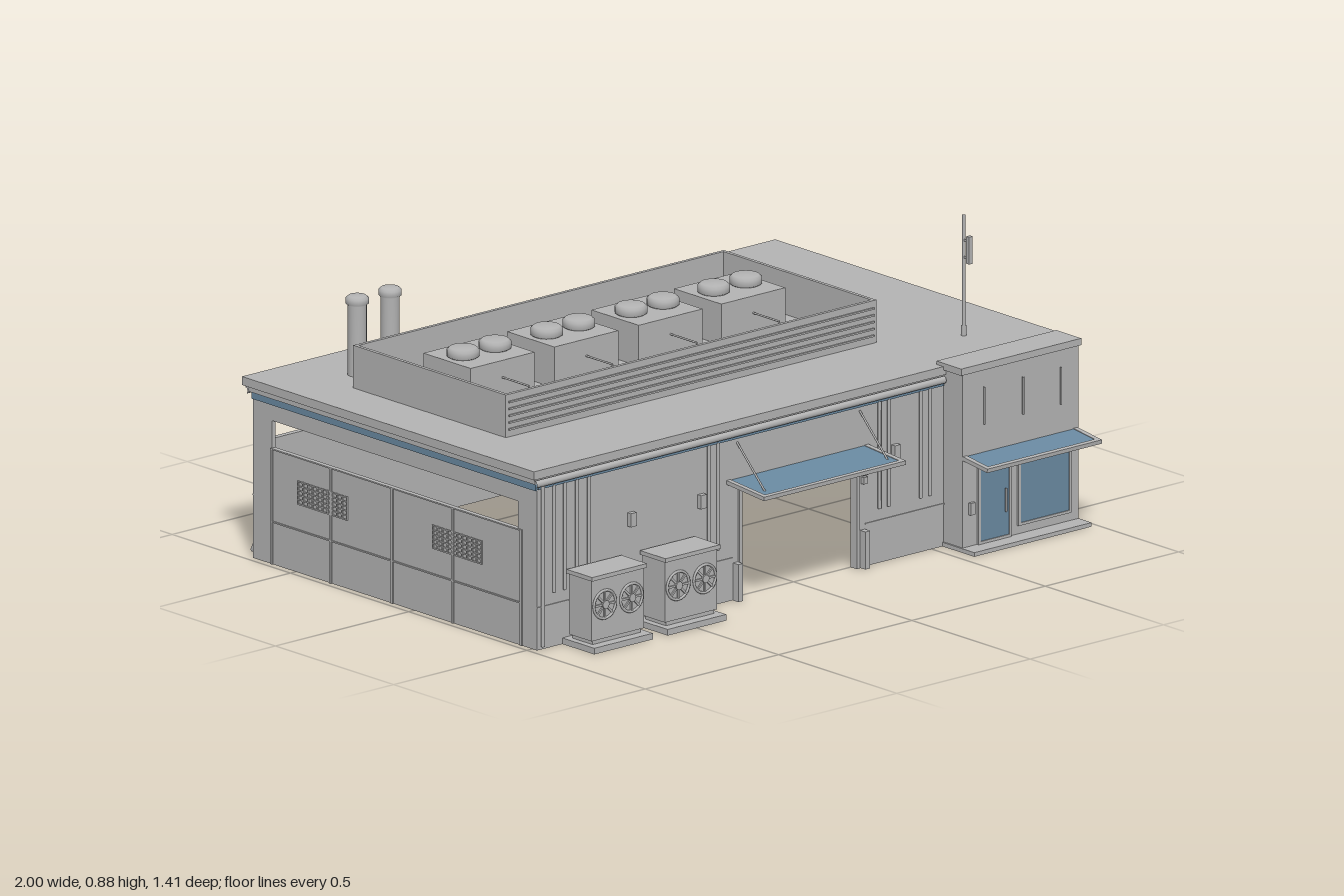
import * as THREE from 'three';

export function createModel() {
  const model = new THREE.Group();
  const grey = new THREE.MeshStandardMaterial({ color: 0xb4b4b4 });
  grey.name = 'greyMetal';
  const glass = new THREE.MeshStandardMaterial({ color: 0x6a8aa2 });
  glass.name = 'blueGlass';

  const add = (name, geo, mat = grey, parent = model) => {
    const mesh = new THREE.Mesh(geo, mat);
    mesh.name = name;
    parent.add(mesh);
    return mesh;
  };
  // Box given by its extents on each axis
  const box = (name, x0, x1, y0, y1, z0, z1, mat, parent) => {
    const m = add(name, new THREE.BoxGeometry(x1 - x0, y1 - y0, z1 - z0), mat, parent);
    m.position.set((x0 + x1) / 2, (y0 + y1) / 2, (z0 + z1) / 2);
    return m;
  };
  // Round bar following a list of points
  const rod = (name, r, ...pts) => {
    const path = new THREE.CurvePath();
    const v = pts.map(p => new THREE.Vector3(...p));
    for (let i = 1; i < v.length; i++) path.add(new THREE.LineCurve3(v[i - 1], v[i]));
    return add(name, new THREE.TubeGeometry(path, v.length === 2 ? 1 : 16, r, 8));
  };
  const rect = (Type, x0, x1, y0, y1) => {
    const s = new Type();
    s.moveTo(x0, y0); s.lineTo(x1, y0); s.lineTo(x1, y1); s.lineTo(x0, y1); s.closePath();
    return s;
  };
  const T = 0.012;
  const wall = (name, shape) => add(name, new THREE.ExtrudeGeometry(shape, { depth: T, bevelEnabled: false }));

  // Front wall with gate opening
  const front = new THREE.Shape();
  [[-0.98, 0], [-0.215, 0], [-0.215, 0.315], [0.215, 0.315], [0.215, 0], [0.98, 0], [0.98, 0.495], [-0.98, 0.495]]
    .forEach(([x, y], i) => (i ? front.lineTo(x, y) : front.moveTo(x, y)));
  wall('frontWall', front).position.z = 0.52 - T;

  // Back wall with long window opening
  const back = rect(THREE.Shape, -0.98, 0.98, 0, 0.495);
  back.holes.push(rect(THREE.Path, -0.93, 0.93, 0.34, 0.42));
  wall('backWall', back).position.z = -0.68;
  box('backSeam', -0.98, 0.98, 0.183, 0.187, -0.683, -0.68);
  box('backSill', -0.94, 0.94, 0.334, 0.34, -0.685, -0.67);

  // Side walls with window openings, panel seams and vent grilles
  for (const s of [-1, 1]) {
    const side = rect(THREE.Shape, -0.52, 0.68, 0, 0.495);
    side.holes.push(rect(THREE.Path, -0.44, 0.6, 0.34, 0.42));
    const m = wall('sideWall', side);
    m.rotation.y = Math.PI / 2;
    m.position.x = s > 0 ? 0.98 - T : -0.98;
    const xa = s > 0 ? 0.98 : -0.984, xb = xa + 0.004;
    for (const z of [0.455, 0.165, -0.09, -0.35, -0.6])
      box('sidePost', xa, xb, 0, 0.34, z - 0.004, z + 0.004);
    for (const y of [0.123, 0.336]) box('sideSeam', xa, xb, y, y + 0.004, -0.6, 0.455);
    for (const z of [0.185, -0.385]) {
      for (let i = 0; i <= 5; i++)
        box('ventSlat', xa, xb + s * 0.002, 0.2 + i * 0.0132, 0.204 + i * 0.0132, z - 0.105, z + 0.105);
      for (let i = 0; i <= 10; i++)
        box('ventBar', xa, xb, 0.2, 0.27, z - 0.105 + i * 0.0206, z - 0.101 + i * 0.0206);
    }
    box('sideStripe', s > 0 ? 0.98 : -0.986, s > 0 ? 0.986 : -0.98, 0.468, 0.488, -0.68, 0.52, glass);
    // Corner downpipes with a kick at the foot
    rod('frontDownpipe', 0.006, [s * 0.965, 0.485, 0.528], [s * 0.965, 0.01, 0.528]);
    rod('backDownpipe', 0.006, [s * 0.965, 0.485, -0.695], [s * 0.965, 0.47, -0.688],
      [s * 0.965, 0.03, -0.688], [s * 0.965, 0.015, -0.7]);
  }
  box('frontStripe', -0.98, 0.54, 0.472, 0.482, 0.52, 0.526, glass);
  box('backStripe', -0.98, 0.98, 0.468, 0.488, -0.686, -0.68, glass);

  // Roof slab and gutters
  box('roof', -1, 1, 0.505, 0.53, -0.705, 0.53);
  box('roofEdge', -0.99, 0.99, 0.488, 0.505, -0.69, 0.522);
  rod('frontGutter', 0.011, [-0.995, 0.49, 0.527], [0.54, 0.49, 0.527]);
  rod('backGutter', 0.011, [-0.995, 0.49, -0.698], [0.995, 0.49, -0.698]);

  // Rooftop screen around the plant
  const screen = rect(THREE.Shape, -0.84, 0.55, -0.23, 0.415);
  screen.holes.push(rect(THREE.Path, -0.829, 0.539, -0.219, 0.404));
  const sm = add('roofScreen', new THREE.ExtrudeGeometry(screen, { depth: 0.125, bevelEnabled: false }));
  sm.rotation.x = -Math.PI / 2;
  sm.position.y = 0.53;
  for (let i = 0; i < 5; i++) box('louver', -0.83, 0.54, 0.55 + i * 0.02, 0.555 + i * 0.02, 0.23, 0.235);
  box('duct', -0.79, 0.5, 0.53, 0.56, 0.02, 0.12);

  // Rooftop cooling units with two fan caps each
  const cap = new THREE.LatheGeometry([[0.04, 0], [0.046, 0.004], [0.046, 0.022], [0.038, 0.029], [0, 0.03]]
    .map(p => new THREE.Vector2(...p)), 24);
  for (const x of [-0.612, -0.298, 0.018, 0.328]) {
    box('coolingUnit', x - 0.12, x + 0.12, 0.53, 0.65, -0.24, -0.04);
    for (const s of [-1, 1]) add('fanCap', cap).position.set(x + s * 0.06, 0.65, -0.14);
    rod('unitPipe', 0.003, [x, 0.6, -0.04], [x, 0.6, 0.07], [x, 0.55, 0.07]);
  }

  // Chimneys
  const flue = new THREE.LatheGeometry([[0.027, 0], [0.027, 0.205], [0.033, 0.21], [0.033, 0.225], [0.025, 0.232], [0, 0.233]]
    .map(p => new THREE.Vector2(...p)), 20);
  for (const x of [-0.745, -0.622]) add('chimney', flue).position.set(x, 0.53, -0.505);

  // Antenna
  rod('antennaMast', 0.005, [0.78, 0.53, 0.34], [0.78, 0.885, 0.34]);
  rod('antennaFoot', 0.008, [0.78, 0.53, 0.34], [0.78, 0.56, 0.34]);
  box('antennaPanel', 0.773, 0.787, 0.745, 0.825, 0.358, 0.37);
  for (const y of [0.76, 0.81]) box('antennaBracket', 0.777, 0.783, y - 0.003, y + 0.003, 0.34, 0.36);

  // Entrance block
  box('entranceBlock', 0.545, 0.98, 0, 0.52, 0.515, 0.6);
  box('entranceCap', 0.535, 0.985, 0.52, 0.54, 0.5, 0.606);
  box('entranceStep', 0.54, 0.98, 0, 0.012, 0.52, 0.655);
  // Thin rectangular frame standing proud of a front face
  const frame = (name, x0, x1, y0, y1, z, w) => {
    const s = rect(THREE.Shape, x0 - w, x1 + w, y0 - w, y1 + w);
    s.holes.push(rect(THREE.Path, x0, x1, y0, y1));
    add(name, new THREE.ExtrudeGeometry(s, { depth: 0.007, bevelEnabled: false })).position.z = z;
  };
  box('doorGlass', 0.607, 0.715, 0.02, 0.235, 0.6, 0.604, glass);
  frame('doorFrame', 0.607, 0.715, 0.02, 0.235, 0.6, 0.008);
  rod('doorHandle', 0.003, [0.7, 0.09, 0.61], [0.7, 0.16, 0.61]);
  box('entranceWindow', 0.757, 0.94, 0.045, 0.24, 0.6, 0.604, glass);
  frame('windowFrame', 0.757, 0.94, 0.045, 0.24, 0.6, 0.008);
  box('doorPanel', 0.567, 0.585, 0.105, 0.14, 0.6, 0.61);

  // Glazed canopies hung on stays
  const canopy = (x0, x1, y, z0, z1, drop, stays) => {
    const g = new THREE.Group();
    g.name = 'canopy';
    model.add(g);
    const d = z1 - z0;
    box('canopyGlass', x0 + 0.015, x1 - 0.015, -0.003, 0.004, 0, d - 0.012, glass, g);
    for (const x of [x0, x1 - 0.015]) box('canopySide', x, x + 0.015, -0.006, 0.006, 0, d, grey, g);
    box('canopyLip', x0, x1, -0.006, 0.006, d - 0.014, d, grey, g);
    g.position.set(0, y, z0);
    g.rotation.x = Math.atan2(drop, d);
    for (const x of stays)
      rod('canopyStay', 0.003, [x, y - drop * 0.7, z0 + d * 0.75], [x, y + 0.11, z0]);
  };
  canopy(-0.27, 0.262, 0.35, 0.52, 0.68, 0.013, [-0.23, 0.23]);
  canopy(0.545, 0.975, 0.274, 0.6, 0.705, 0.013, []);
  for (const x of [0.625, 0.77, 0.912]) rod('entranceStay', 0.003, [x, 0.36, 0.603], [x, 0.47, 0.603]);

  // Gate surround and bollards
  for (const s of [-1, 1]) {
    box('gateJamb', s * 0.22 - 0.006, s * 0.22 + 0.006, 0, 0.32, 0.5, 0.526);
    box('bollard', s * 0.238 - 0.009, s * 0.238 + 0.009, 0, 0.11, 0.522, 0.545);
  }
  box('gateLintel', -0.226, 0.226, 0.312, 0.322, 0.5, 0.526);

  // Pipes, lamps and switches on the front wall
  for (const x of [-0.92, -0.88, -0.835, -0.79, -0.34, -0.305, 0.3, 0.335, 0.455, 0.49])
    rod('wallPipe', 0.005, [x, 0.16, 0.525], [x, 0.475, 0.525]);
  for (const x of [-0.63, -0.367, 0.36]) box('wallLamp', x - 0.011, x + 0.011, 0.296, 0.336, 0.52, 0.535);
  for (const y of [0.245, 0.27]) box('gateSwitch', 0.235, 0.25, y, y + 0.02, 0.52, 0.532);
  for (const [a, b] of [[-0.98, -0.25], [0.25, 0.545]]) box('frontSeam', a, b, 0.123, 0.126, 0.52, 0.523);

  // Ground condensers with twin fans
  const ring = new THREE.TorusGeometry(0.041, 0.004, 8, 28);
  const hub = new THREE.CylinderGeometry(0.012, 0.012, 0.012, 16).rotateX(Math.PI / 2);
  for (const x of [-0.775, -0.5]) {
    box('condenserPad', x - 0.11, x + 0.11, 0, 0.018, 0.52, 0.655);
    box('condenserFoot', x - 0.09, x + 0.09, 0.018, 0.035, 0.54, 0.625);
    box('condenserBody', x - 0.098, x + 0.098, 0.03, 0.212, 0.535, 0.63);
    box('condenserTop', x - 0.103, x + 0.103, 0.208, 0.22, 0.53, 0.638);
    for (const s of [-1, 1]) {
      const fan = new THREE.Group();
      fan.name = 'condenserFan';
      fan.position.set(x + s * 0.05, 0.13, 0.632);
      model.add(fan);
      add('fanRing', ring, grey, fan);
      add('fanHub', hub, grey, fan);
      for (let i = 0; i < 8; i++) {
        const spoke = box('fanBlade', 0.01, 0.04, -0.003, 0.003, -0.002, 0.003, grey, fan);
        const a = i * Math.PI / 4;
        spoke.position.set(Math.cos(a) * 0.025, Math.sin(a) * 0.025, 0);
        spoke.rotation.z = a;
      }
    }
  }
  return model;
}
